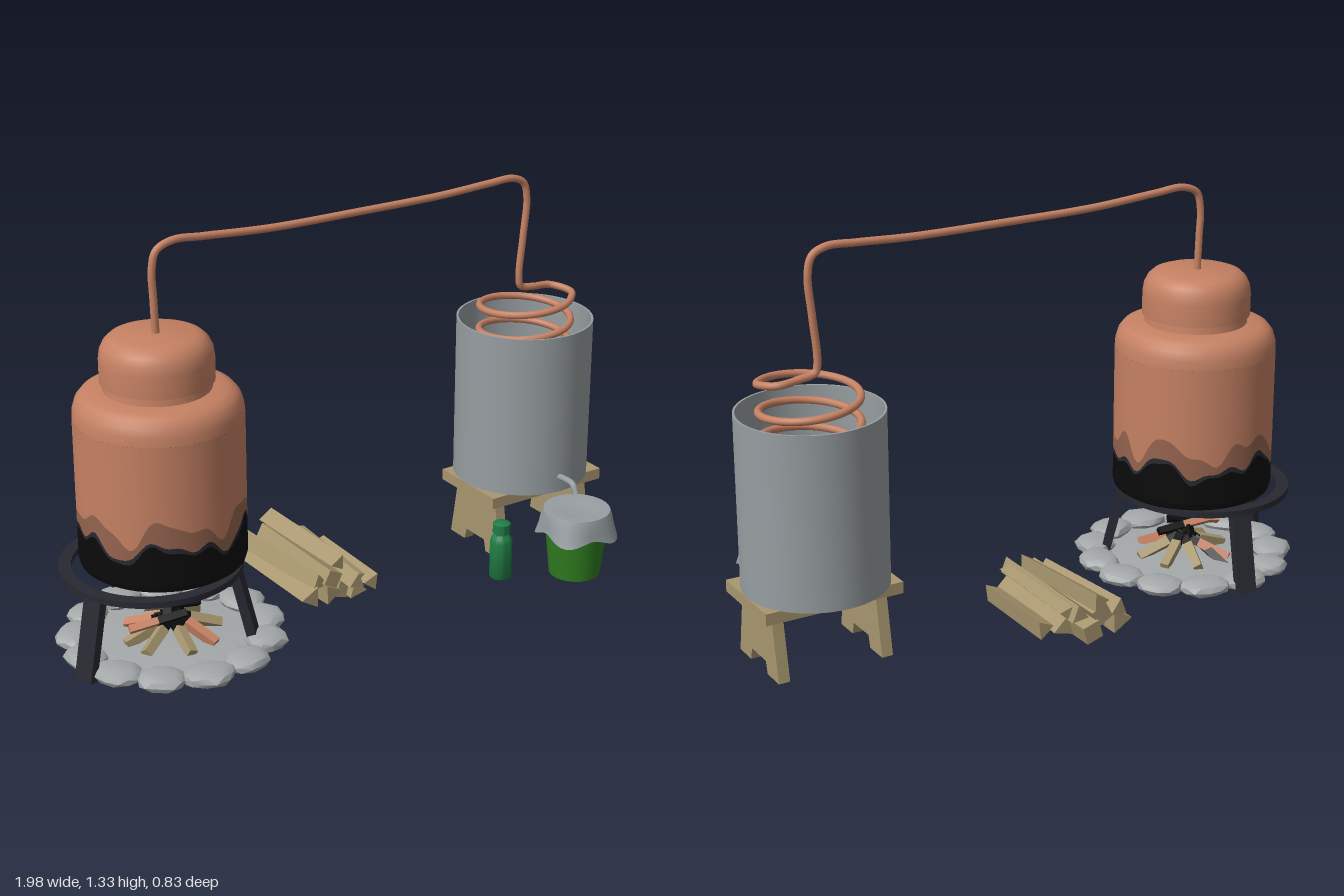
import * as THREE from 'three';
import { toCreasedNormals } from 'three/addons/utils/BufferGeometryUtils.js';

const V = (x, y, z) => new THREE.Vector3(x, y, z);

export function createModel() {
  const root = new THREE.Group();
  root.name = 'copperStill';
  const mat = (name, color, side = THREE.FrontSide) =>
    Object.assign(new THREE.MeshStandardMaterial({ color, side }), { name });
  const copper = mat('copper', 0xc58163);
  const tarnish = mat('tarnishedCopper', 0x95634e);
  const soot = mat('soot', 0x0b0b0b, THREE.DoubleSide);
  const iron = mat('darkIron', 0x282832);
  const steel = mat('galvanisedSteel', 0x979ea1, THREE.DoubleSide);
  const stone = mat('stone', 0xa4a8a9, THREE.DoubleSide);
  const wood = mat('wood', 0xa8976f);
  const green = mat('bucketGreen', 0x2f7d1f);
  const glass = mat('bottleGreen', 0x1f7d46);

  let seed = 7;
  const rnd = () => (seed = (seed * 16807) % 2147483647) / 2147483647;

  const add = (name, geo, material, x = 0, y = 0, z = 0, parent = root) => {
    const m = new THREE.Mesh(geo, material);
    m.name = name;
    m.position.set(x, y, z);
    parent.add(m);
    return m;
  };
  const lathe = (pts, seg = 48, crease = 0.6) => toCreasedNormals(
    new THREE.LatheGeometry(pts.map(p => new THREE.Vector2(...p)), seg), crease);
  // Straight piece from a to b; the geometry runs along z
  const span = (name, geo, material, a, b, roll = 0, parent = root) => {
    const m = add(name, geo, material, 0, 0, 0, parent);
    m.position.copy(a).add(b).multiplyScalar(0.5);
    m.lookAt(b);
    m.rotateZ(roll);
    return m;
  };
  const splitLog = (r, len, sides = 3) => toCreasedNormals(
    new THREE.CylinderGeometry(r * 0.92, r, len, sides).rotateX(Math.PI / 2), 0.3);

  // ---- Pot ----
  const px = -0.62, pz = -0.06, R = 0.262;
  const pot = new THREE.Group();
  pot.name = 'pot';
  pot.position.set(px, 0, pz);
  root.add(pot);
  // Wall strip between two wavy heights
  const band = (lo, hi) => {
    const n = 120, pos = [], nor = [], idx = [];
    for (let i = 0; i <= n; i++) {
      const a = (i / n) * Math.PI * 2, s = Math.sin(a), c = Math.cos(a);
      pos.push(R * s, lo(a), R * c, R * s, hi(a), R * c);
      nor.push(s, 0, c, s, 0, c);
      const k = i * 2;
      if (i < n) idx.push(k, k + 2, k + 3, k, k + 3, k + 1);
    }
    const g = new THREE.BufferGeometry();
    g.setAttribute('position', new THREE.Float32BufferAttribute(pos, 3));
    g.setAttribute('normal', new THREE.Float32BufferAttribute(nor, 3));
    g.setIndex(idx);
    return g;
  };
  const sootTop = a => 0.425 + 0.022 * Math.sin(5 * a + 3.6) + 0.018 * Math.sin(9 * a + 1) + 0.008 * Math.sin(17 * a);
  const rimTop = a => sootTop(a) + 0.014 + 0.004 * Math.sin(13 * a);
  const stainTop = a => rimTop(a) + 0.058 + 0.02 * Math.sin(7 * a + 4) + 0.014 * Math.sin(12 * a + 2);
  add('potBase', lathe([[0, 0.3], [0.245, 0.3], [0.257, 0.308], [R, 0.325]], 60), soot, 0, 0, 0, pot);
  add('sootBand', band(() => 0.325, sootTop), soot, 0, 0, 0, pot);
  add('sootRim', band(sootTop, rimTop), iron, 0, 0, 0, pot);
  add('stainBand', band(rimTop, stainTop), tarnish, 0, 0, 0, pot);
  add('potWall', band(stainTop, () => 0.78), copper, 0, 0, 0, pot);
  add('potShoulder', lathe([[R, 0.78], [0.26, 0.808], [0.252, 0.835], [0.236, 0.855], [0.212, 0.866],
    [0.166, 0.87], [0.162, 0.9]], 60), copper, 0, 0, 0, pot);
  add('potCap', lathe([[0.15, 0.895], [0.175, 0.895], [0.175, 0.965], [0.171, 0.993], [0.16, 1.016],
    [0.143, 1.032], [0.12, 1.04], [0, 1.042]], 60), copper, 0, 0, 0, pot);

  // ---- Tripod ----
  const tx = -0.665, tz = -0.06;
  const ring = new THREE.Shape().absarc(0, 0, 0.287, 0, Math.PI * 2);
  ring.holes.push(new THREE.Path().absarc(0, 0, 0.247, 0, Math.PI * 2, true));
  add('tripodRing', toCreasedNormals(new THREE.ExtrudeGeometry(ring,
    { depth: 0.02, bevelEnabled: false, curveSegments: 24 }).rotateX(-Math.PI / 2), 0.6), iron, tx, 0.28, tz);
  for (const deg of [-82, 38, 158]) {
    const a = deg * Math.PI / 180, at = (r, y) => V(tx + r * Math.cos(a), y, tz + r * Math.sin(a));
    span('tripodLeg', new THREE.BoxGeometry(0.065, 0.03, 0.28), iron, at(0.258, 0.295), at(0.322, 0.025));
  }

  // ---- Fire pit ----
  const fx = -0.615, fz = -0.03;
  for (let i = 0; i < 13; i++) {
    const a = (i / 13) * Math.PI * 2 + 0.25, k = rnd() * 6, w = 0.9 + rnd() * 0.25;
    const g = new THREE.IcosahedronGeometry(1, 1), p = g.attributes.position;
    for (let j = 0; j < p.count; j++) {
      const x = p.getX(j), y = p.getY(j), z = p.getZ(j);
      const f = 1 + 0.1 * Math.sin(3 * x + k) * Math.cos(4 * z + 2 * k);
      p.setXYZ(j, x * f * 0.066, Math.max(-0.022, Math.min(0.024, y * 0.032)), z * f * 0.078 * w);
    }
    const s = add('pitStone', toCreasedNormals(g, 0.5), stone, fx + 0.3 * Math.cos(a), 0.045, fz + 0.3 * Math.sin(a));
    s.rotation.y = -a;
  }
  add('ashBed', lathe([[0.29, 0.03], [0.15, 0.042], [0, 0.05]], 36), stone, fx, 0, fz);
  add('charredRing', new THREE.RingGeometry(0.235, 0.29, 36).rotateX(Math.PI / 2), soot, fx, 0.022, fz);
  // Leaning sticks: burnt inside, bare wood or glowing outside
  for (let i = 0; i < 8; i++) {
    const a = i * 0.785 + 0.3 * rnd(), up = 0.1 + 0.035 * rnd();
    const at = (r, y) => V(fx + r * Math.cos(a), y, fz + r * Math.sin(a));
    const inner = at(-0.03, up), outer = at(0.16, 0.045), mid = inner.clone().lerp(outer, 0.45);
    span('charredStickEnd', splitLog(0.021, inner.distanceTo(mid), 4), soot, inner, mid, i);
    span('stickEnd', splitLog(0.022, mid.distanceTo(outer), 4), i % 4 === 1 ? copper : wood, mid, outer, i);
  }
  [[-0.78, 0.115, 0.0, -0.6, 0.14, 0.04], [-0.7, 0.15, -0.05, -0.52, 0.13, -0.02]].forEach(([a, b, c, d, e, f]) => {
    const p = V(a, b, c), q = V(d, e, f), m = p.clone().lerp(q, 0.5);
    span('emberStick', splitLog(0.017, p.distanceTo(m), 4), copper, p, m);
    span('emberStickChar', splitLog(0.017, m.distanceTo(q), 4), soot, m, q);
  });
  span('fallenStick', splitLog(0.02, 0.16, 4), soot, V(-0.69, 0.018, -0.19), V(-0.65, 0.09, -0.05));

  // ---- Log pile: x, y, z of the back end, x, y, z of the front end, radius, roll ----
  [[-0.13, 0.042, -0.38, -0.125, 0.042, 0.02, 0.044, 0.5],
    [-0.085, 0.045, -0.33, -0.055, 0.045, 0.03, 0.042, 1.6],
    [-0.01, 0.042, -0.41, 0.0, 0.042, 0.02, 0.042, 0.5],
    [0.05, 0.045, -0.34, 0.03, 0.045, 0.05, 0.04, 1.3],
    [0.105, 0.04, -0.31, 0.105, 0.04, 0.025, 0.036, 0.4],
    [-0.12, 0.088, -0.39, -0.09, 0.085, 0.01, 0.036, 1.2],
    [-0.05, 0.09, -0.4, -0.045, 0.09, 0.02, 0.04, 0.3],
    [0.02, 0.095, -0.38, 0.01, 0.09, 0.08, 0.034, 0.9],
    [0.045, 0.095, -0.35, 0.03, 0.09, 0.05, 0.03, 1.8],
    [-0.035, 0.14, -0.41, -0.01, 0.13, 0.0, 0.034, 0.55]
  ].forEach(([a, b, c, d, e, f, r, roll], i) => {
    const p = V(a, b, c), q = V(d, e, f);
    span('splitLog', splitLog(r, p.distanceTo(q), i % 4 === 2 ? 4 : 3), wood, p, q, roll);
  });

  // ---- Cooling barrel with spigot ----
  const bx = 0.767, bz = -0.058;
  add('barrel', lathe([[0, 0.26], [0.228, 0.26], [0.228, 0.815], [0.221, 0.815], [0.221, 0.275], [0, 0.275]], 56),
    steel, bx, 0, bz);
  add('spigot', new THREE.TubeGeometry(new THREE.CatmullRomCurve3([V(0.76, 0.31, 0.15), V(0.76, 0.316, 0.2),
    V(0.76, 0.312, 0.24), V(0.76, 0.285, 0.258)]), 16, 0.011, 10), steel);

  // ---- Pipe, running over and down into the coil ----
  const path = [[-0.62, 1.03], [-0.624, 1.15], [-0.626, 1.24], [-0.61, 1.295], [-0.555, 1.318], [-0.45, 1.312],
    [-0.22, 1.296], [0.1, 1.292], [0.42, 1.292], [0.6, 1.3], [0.7, 1.302], [0.745, 1.28], [0.76, 1.225],
    [0.75, 1.1], [0.738, 0.96], [0.746, 0.925], [0.8, 0.913], [0.87, 0.906]].map(([x, y]) => V(x, y, pz));
  for (let t = 0.45; t < 13 * Math.PI; t += Math.PI / 8)
    path.push(V(bx + 0.152 * Math.cos(t), 0.903 - 0.0135 * t, bz + 0.152 * Math.sin(t)));
  add('condenserPipe', new THREE.TubeGeometry(new THREE.CatmullRomCurve3(path), 700, 0.012, 10), copper);

  // ---- Stool ----
  add('stoolSeat', new THREE.BoxGeometry(0.456, 0.038, 0.29), wood, 0.767, 0.24, -0.048);
  const leg = new THREE.Shape([[-0.14, 0.02], [-0.06, 0.02], [-0.05, 0.06], [0.05, 0.06], [0.06, 0.02], [0.14, 0.02],
    [0.105, 0.222], [-0.105, 0.222]].map(p => new THREE.Vector2(...p)));
  for (const x of [0.577, 0.923]) {
    add('stoolLeg', new THREE.ExtrudeGeometry(leg, { depth: 0.037, bevelEnabled: false }).rotateY(Math.PI / 2),
      wood, x, 0, -0.048);
  }

  // ---- Bucket with cloth cover ----
  const kx = 0.738, kz = 0.293;
  add('bucket', lathe([[0, 0.022], [0.085, 0.022], [0.108, 0.235], [0, 0.235]]), green, kx, 0, kz);
  const cloth = new THREE.LatheGeometry([[0.128, 0.172], [0.121, 0.2], [0.116, 0.235], [0.11, 0.253], [0.1, 0.254],
    [0.05, 0.246], [0, 0.243]].map(p => new THREE.Vector2(...p)), 48);
  const cp = cloth.attributes.position;
  for (let i = 0; i < cp.count; i++) {
    const x = cp.getX(i), y = cp.getY(i), z = cp.getZ(i), a = Math.atan2(z, x);
    const f = Math.hypot(x, z) > 0.105 ? Math.min(1, Math.max(0, (0.25 - y) / 0.078)) : 0;
    const s = 1 + f * 0.08 * Math.cos(4 * a + Math.PI - 0.5);
    cp.setXYZ(i, x * s, y + f * (0.016 * Math.cos(4 * a - 0.6) + 0.008 * Math.sin(3 * a)), z * s);
  }
  cloth.computeVertexNormals();
  add('clothCover', toCreasedNormals(cloth, 0.7), steel, kx, 0, kz);

  // ---- Bottle ----
  add('bottle', lathe([[0, 0.022], [0.034, 0.022], [0.037, 0.027], [0.037, 0.152], [0.033, 0.166], [0.022, 0.178],
    [0.022, 0.183], [0.029, 0.185], [0.029, 0.217], [0.024, 0.22], [0, 0.22]], 28), glass, 0.506, 0, 0.19);

  return root;
}
